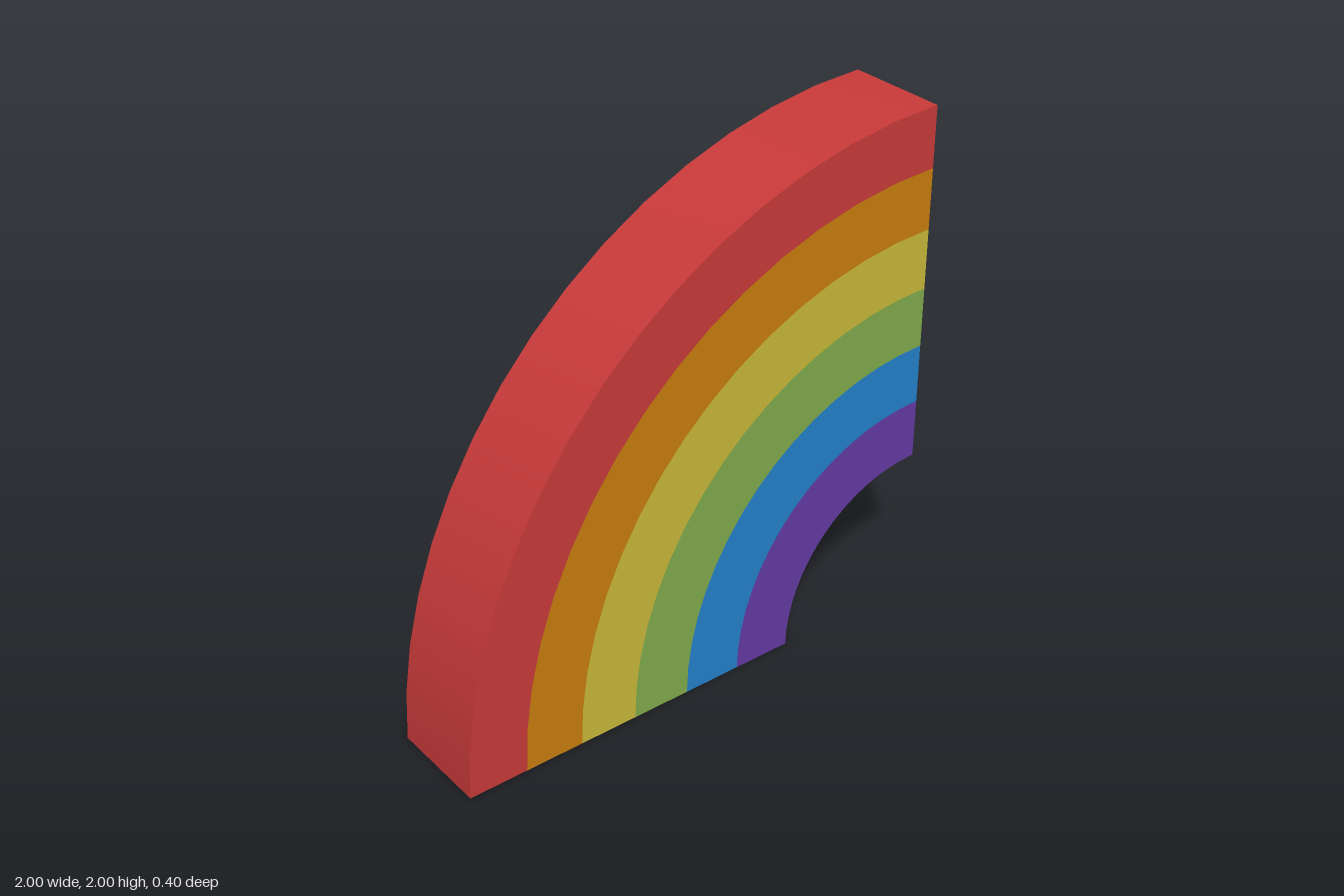
import * as THREE from 'three';
import { toCreasedNormals } from 'three/addons/utils/BufferGeometryUtils.js';

const BANDS = [
  ['purple', 0x633aa3],
  ['blue', 0x2382cc],
  ['green', 0x82ac4c],
  ['yellow', 0xc9b93a],
  ['orange', 0xc97e0d],
  ['red', 0xc93a3a],
];
const INNER = 0.6, OUTER = 2, DEPTH = 0.4;

// Quarter ring around the origin, extruded and centred in z
function quarterRing(r0, r1) {
  const shape = new THREE.Shape();
  shape.absarc(0, 0, r1, Math.PI / 2, Math.PI, false);
  shape.absarc(0, 0, r0, Math.PI, Math.PI / 2, true);
  // arcs use twice the curveSegments: 16 steps per quarter turn
  const geometry = new THREE.ExtrudeGeometry(shape, {
    depth: DEPTH, bevelEnabled: false, curveSegments: 8,
  });
  geometry.translate(0, 0, -DEPTH / 2);
  return toCreasedNormals(geometry, 0.5);
}

export function createModel() {
  const model = new THREE.Group();
  model.name = 'rainbowQuarterArch';
  const width = (OUTER - INNER) / BANDS.length;

  // Concentric bands, from the inside out
  BANDS.forEach(([name, color], i) => {
    const material = new THREE.MeshStandardMaterial({ color });
    material.name = name;
    const r0 = INNER + i * width;
    const band = new THREE.Mesh(quarterRing(r0, r0 + width), material);
    band.name = `${name}Band`;
    band.position.x = 1;
    model.add(band);
  });
  return model;
}
